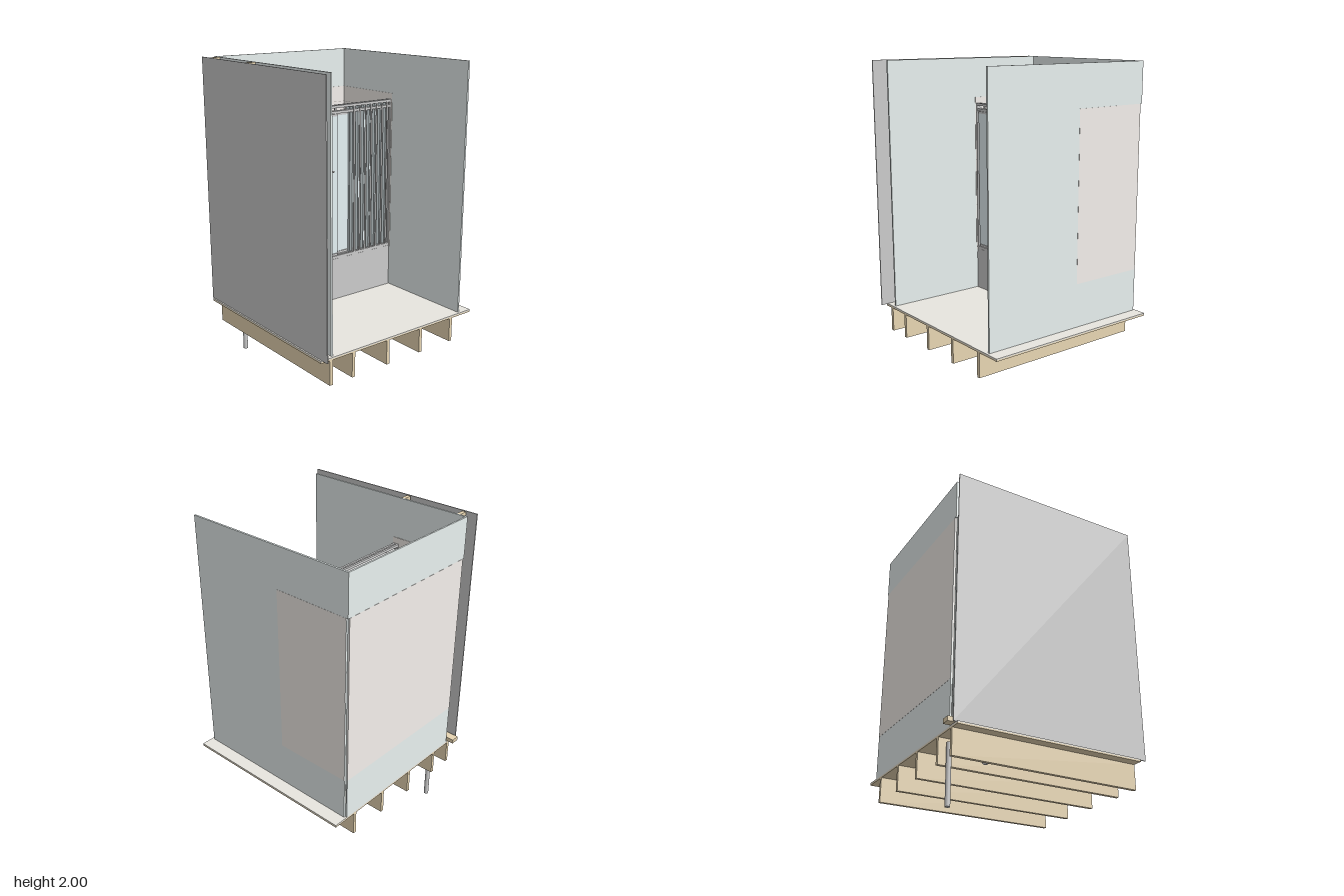
import * as THREE from 'three';

const mat = (color) => new THREE.MeshStandardMaterial({ color });
const thin = (color) => new THREE.MeshStandardMaterial({ color, side: THREE.DoubleSide });
const grey = mat(0xcccccc), wood = mat(0xe8d6b3), plaster = mat(0xe8f0ef), tile = mat(0xf4efeb);
const grout = mat(0xaaa49e), glass = mat(0xe6f2f5), floorMat = mat(0xe8e6df), copper = mat(0xd08a5c);
const brass = mat(0xd8b860);

export function createModel() {
  const root = new THREE.Group();
  const add = (name, geo, material = grey) => {
    const m = new THREE.Mesh(geo, material);
    m.name = name;
    root.add(m);
    return m;
  };
  // box given by its limits on each axis
  const box = (name, x0, x1, y0, y1, z0, z1, material) => {
    const m = add(name, new THREE.BoxGeometry(x1 - x0, y1 - y0, z1 - z0), material);
    m.position.set((x0 + x1) / 2, (y0 + y1) / 2, (z0 + z1) / 2);
    return m;
  };
  // round bar between two points
  const bar = (name, a, b, r, material, r2 = r) => {
    const p = new THREE.Vector3(...a), q = new THREE.Vector3(...b), d = q.clone().sub(p);
    const m = add(name, new THREE.CylinderGeometry(r2, r, d.length(), 20), material);
    m.position.copy(p).add(q).multiplyScalar(0.5);
    m.quaternion.setFromUnitVectors(new THREE.Vector3(0, 1, 0), d.normalize());
    return m;
  };
  const pipe = (name, pts, r, material) => add(name, new THREE.TubeGeometry(
    new THREE.CatmullRomCurve3(pts.map((p) => new THREE.Vector3(...p)), false, 'centripetal'), 48, r, 14), material);

  // floor and joists
  box('subfloor', -0.607, 0.604, 0.386, 0.394, -0.6, 0.6, wood);
  box('floor', -0.607, 0.604, 0.394, 0.402, -0.6, 0.6, floorMat);
  for (const x of [-0.535, -0.37, -0.103, 0.165, 0.43])
    box('joist', x - 0.011, x + 0.011, 0.23, 0.386, -0.6, 0.6, wood);

  // room walls, open at the front
  const T0 = 0.68, T1 = 1.74;
  box('backWall', -0.512, 0.506, 0.4, 2, -0.6, -0.59, plaster);
  box('leftWall', 0.506, 0.518, 0.4, 2, -0.588, 0.585, plaster);
  box('rightWall', -0.524, -0.512, 0.4, 2, -0.588, 0.585, plaster);
  box('wallCorner', 0.506, 0.518, T1, 2, -0.6, -0.588, plaster);
  box('wallCorner', -0.524, -0.512, T1, 2, -0.6, -0.588, plaster);
  box('outerWall', -0.598, -0.591, 0.4, 2, -0.62, 0.645);

  // tile surround, just proud of the walls
  box('backTile', -0.512, 0.506, T0, T1, -0.601, -0.587, tile);
  box('leftTile', 0.503, 0.519, T0, T1, -0.587, -0.08, tile);
  box('rightTile', -0.525, -0.509, T0, T1, -0.587, -0.08, tile);
  for (let y = T0 + 0.106; y < T1 - 0.02; y += 0.106) {
    box('groutLine', -0.509, 0.503, y - 0.001, y + 0.001, -0.587, -0.5865, grout);
    box('groutLine', 0.5025, 0.503, y - 0.001, y + 0.001, -0.587, -0.08, grout);
    box('groutLine', -0.509, -0.5085, y - 0.001, y + 0.001, -0.587, -0.08, grout);
  }

  // stud wall
  box('solePlate', -0.58, -0.525, 0.402, 0.43, -0.645, 0.05, wood);
  for (const z of [-0.55, -0.145]) box('stud', -0.58, -0.525, 0.43, 2, z, z + 0.025, wood);
  for (const y of [0.98, 1.68]) box('pipeBlocking', -0.58, -0.557, y, y + 0.09, -0.525, -0.145, wood);

  // bathtub
  const roundedLoop = (x0, x1, z0, z1, r) => {
    const pts = [];
    [[x1 - r, z1 - r], [x0 + r, z1 - r], [x0 + r, z0 + r], [x1 - r, z0 + r]].forEach(([cx, cz], k) => {
      for (let i = 0; i <= 8; i++) {
        const a = (k + i / 8) * Math.PI / 2;
        pts.push(new THREE.Vector2(cx + r * Math.cos(a), cz + r * Math.sin(a)));
      }
    });
    return pts;
  };
  const rimLoop = roundedLoop(-0.46, 0.457, -0.545, -0.127, 0.045);
  const rimShape = new THREE.Shape(roundedLoop(-0.509, 0.503, -0.587, -0.085, 0.004));
  rimShape.holes.push(new THREE.Path(rimLoop));
  const rim = add('tubRim', new THREE.ExtrudeGeometry(rimShape, { depth: 0.025, bevelEnabled: false }));
  rim.rotation.x = Math.PI / 2;
  rim.position.y = 0.685;
  box('tubApron', -0.509, 0.503, 0.402, 0.66, -0.1, -0.085);
  const loops = [
    [rimLoop, 0.685],
    [roundedLoop(-0.444, 0.441, -0.53, -0.142, 0.052), 0.62],
    [roundedLoop(-0.42, 0.416, -0.508, -0.163, 0.06), 0.52],
    [roundedLoop(-0.395, 0.392, -0.485, -0.186, 0.06), 0.452],
  ];
  const n = rimLoop.length, pos = [], idx = [];
  loops.forEach(([pts, y], k) => pts.forEach((p, i) => {
    pos.push(p.x, y, p.y);
    if (k === 0) return;
    const a = (k - 1) * n + i, b = (k - 1) * n + (i + 1) % n;
    idx.push(a, b, a + n, b, b + n, a + n);
  }));
  const basin = new THREE.BufferGeometry();
  basin.setAttribute('position', new THREE.Float32BufferAttribute(pos, 3));
  basin.setIndex(idx);
  basin.computeVertexNormals();
  add('tubBasin', basin, thin(0xcccccc));
  const base = add('tubBottom', new THREE.ShapeGeometry(new THREE.Shape(loops[3][0])), thin(0xd2e0e8));
  base.rotation.x = Math.PI / 2;
  base.position.y = 0.452;
  bar('tubDrain', [-0.34, 0.45, -0.335], [-0.34, 0.455, -0.335], 0.014);

  // sliding door tracks, frame and glass
  for (const z of [-0.1, -0.125]) {
    box('topTrack', -0.509, 0.503, 1.684, 1.7, z, z + 0.014);
    box('bottomTrack', -0.509, 0.503, 0.685, 0.704, z, z + 0.014);
  }
  box('headerRail', -0.509, 0.503, 1.648, 1.664, -0.122, -0.09);
  for (const x of [-0.509, 0.495]) box('sideJamb', x, x + 0.008, 0.685, 1.7, -0.125, -0.087);
  const door = (name, x0, x1, z) => {
    box(name + 'Glass', x0, x1, 0.722, 1.635, z - 0.003, z + 0.003, glass);
    for (const y of [0.706, 1.632]) box(name + 'Rail', x0, x1, y, y + 0.014, z - 0.004, z + 0.004);
    for (const t of [0.12, 0.88]) {
      const x = x0 + (x1 - x0) * t;
      box(name + 'Hanger', x - 0.006, x + 0.006, 1.64, 1.684, z - 0.004, z + 0.004);
    }
  };
  door('frontDoor', -0.488, 0.052, -0.093);
  door('rearDoor', 0.0, 0.49, -0.12);

  // door handle
  bar('doorHandle', [-0.226, 1.285, -0.058], [0, 1.285, -0.058], 0.006);
  for (const x of [-0.213, -0.013]) bar('handlePost', [x, 1.285, -0.09], [x, 1.285, -0.058], 0.004);

  // folding screen pleats gathered at one end
  for (let i = 0; i < 7; i++) {
    const x = 0.17 + i * 0.047;
    for (const s of [-1, 1]) {
      const pleat = box('screenPleat', -0.0015, 0.0015, 0.705, 1.695, -0.026, 0.026, glass);
      pleat.position.set(x + s * 0.006, 1.2, -0.121);
      pleat.rotation.y = s * 0.24;
    }
    box('pleatHinge', x - 0.003, x + 0.003, 0.705, 1.695, -0.15, -0.143);
    box('pleatStile', x + 0.016, x + 0.028, 0.7, 1.695, -0.09, -0.086);
  }

  // shower arm and head
  const Z = -0.335;
  const flange = (y, r) => bar('wallFlange', [-0.509, y, Z], [-0.5, y, Z], r, grey, r * 0.6);
  flange(1.715, 0.028);
  pipe('showerArm', [[-0.54, 1.715, Z], [-0.5, 1.717, Z], [-0.455, 1.712, Z], [-0.42, 1.69, Z], [-0.375, 1.655, Z]], 0.009);
  const head = add('showerHead', new THREE.LatheGeometry(
    [[0, 0], [0.041, 0], [0.043, 0.008], [0.03, 0.022], [0.014, 0.036], [0.011, 0.05], [0, 0.05]]
      .map(([r, y]) => new THREE.Vector2(r, y)), 32));
  head.position.set(-0.352, 1.633, Z);
  head.rotation.z = 0.75;

  // mixer control and tub spout
  flange(1.05, 0.055);
  bar('mixerKnob', [-0.505, 1.05, Z], [-0.46, 1.05, Z], 0.018);
  bar('mixerLever', [-0.468, 1.05, Z], [-0.455, 0.985, Z], 0.007);
  flange(0.79, 0.025);
  pipe('tubSpout', [[-0.51, 0.79, Z], [-0.46, 0.79, Z], [-0.43, 0.786, Z], [-0.42, 0.765, Z]], 0.017);

  // supply plumbing inside the stud wall
  bar('valveBody', [-0.557, 1.05, Z], [-0.512, 1.05, Z], 0.022, brass);
  bar('showerElbow', [-0.557, 1.715, Z], [-0.515, 1.715, Z], 0.014, brass);
  bar('riserPipe', [-0.54, 0.79, Z], [-0.54, 1.715, Z], 0.007, copper);
  for (const s of [-1, 1]) {
    bar('supplyBranch', [-0.54, 1.05, Z], [-0.54, 1.05, Z + s * 0.078], 0.007, copper);
    bar('supplyPipe', [-0.54, 0.402, Z + s * 0.078], [-0.54, 1.057, Z + s * 0.078], 0.007, copper);
  }

  // drain trap and waste pipe
  pipe('drainTrap', [[-0.468, 0.4, Z], [-0.468, 0.31, Z], [-0.458, 0.28, Z], [-0.435, 0.27, Z],
    [-0.412, 0.28, Z], [-0.402, 0.305, Z], [-0.402, 0.345, Z]], 0.013);
  bar('trapCollar', [-0.402, 0.325, Z], [-0.402, 0.36, Z], 0.018);
  bar('trapArm', [-0.402, 0.342, Z], [-0.402, 0.342, -0.545], 0.014);
  bar('wastePipe', [-0.402, 0, -0.545], [-0.402, 0.358, -0.545], 0.015);

  return root;
}
